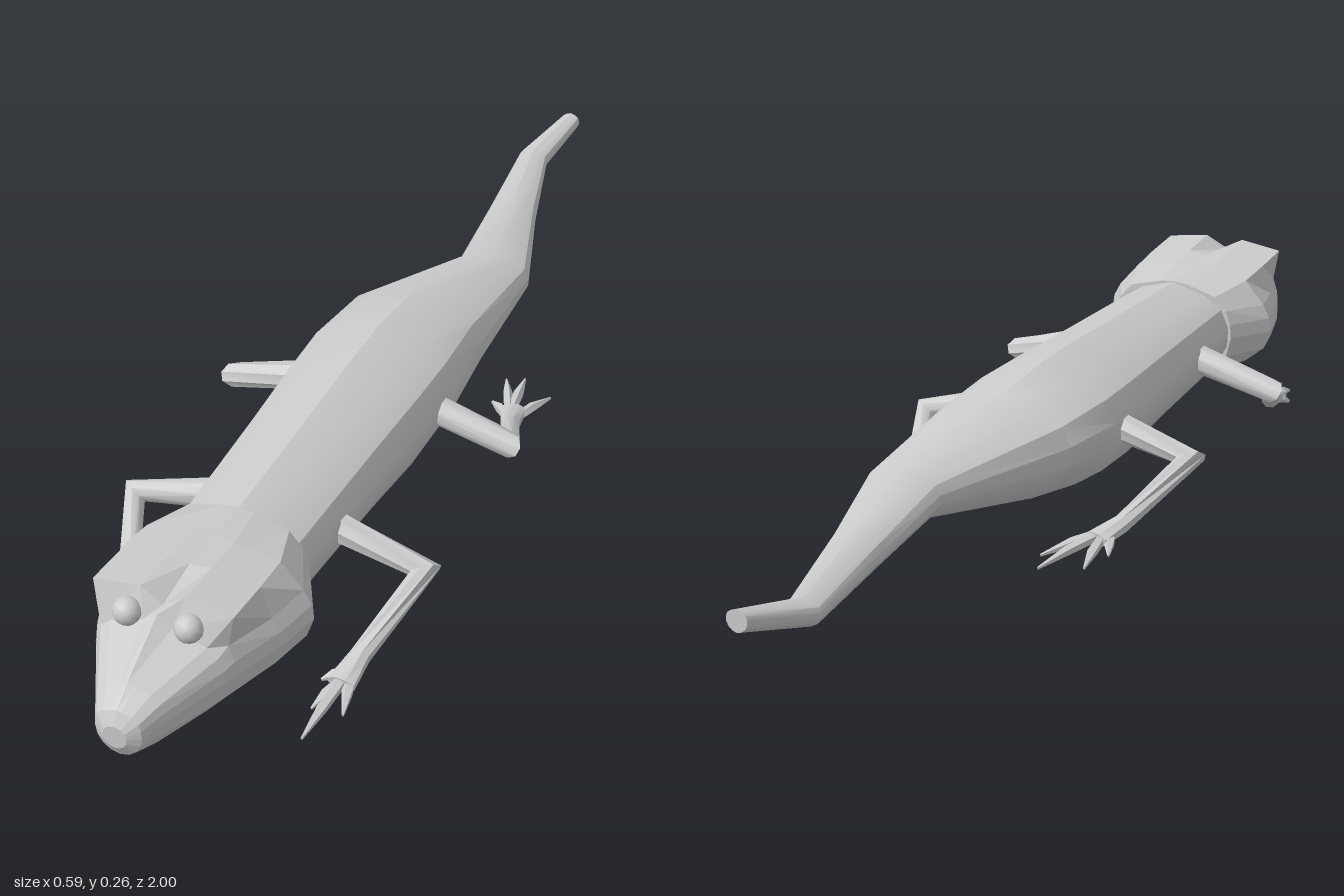
import * as THREE from 'three';
import { toCreasedNormals } from 'three/addons/utils/BufferGeometryUtils.js';

// Skin a list of equal-sized vertex rings and cap both ends
function loft(rings, crease) {
  const n = rings[0].length, verts = [], index = [];
  rings.forEach(r => r.forEach(p => verts.push(p.x, p.y, p.z)));
  for (let i = 0; i < rings.length - 1; i++) for (let j = 0; j < n; j++) {
    const a = i * n + j, b = i * n + (j + 1) % n;
    index.push(a, a + n, b, b, a + n, b + n);
  }
  [0, rings.length - 1].forEach((i, end) => {
    const c = new THREE.Vector3();
    rings[i].forEach(p => c.addScaledVector(p, 1 / n));
    const k = verts.length / 3;
    verts.push(c.x, c.y, c.z);
    for (let j = 0; j < n; j++) {
      const a = i * n + j, b = i * n + (j + 1) % n;
      if (end) index.push(k, b, a); else index.push(k, a, b);
    }
  });
  const g = new THREE.BufferGeometry();
  g.setAttribute('position', new THREE.Float32BufferAttribute(verts, 3));
  g.setIndex(index);
  return toCreasedNormals(g, crease);
}

// Full ring from a right-half profile running bottom centre to top centre
function mirrorRing(half, z, cx = 0) {
  const left = half.slice(1, -1).reverse().map(([x, y]) => [-x, y]);
  return [...half, ...left].map(([x, y]) => new THREE.Vector3(cx + x, y, z));
}

// Tube through [x, y, z, halfWidth, halfHeight] stations
function limb(stations, sides, crease) {
  const pts = stations.map(s => new THREE.Vector3(s[0], s[1], s[2]));
  const up = new THREE.Vector3(0, 1, 0);
  return loft(stations.map((s, i) => {
    const t = new THREE.Vector3();
    if (i > 0) t.add(pts[i].clone().sub(pts[i - 1]).normalize());
    if (i < pts.length - 1) t.add(pts[i + 1].clone().sub(pts[i]).normalize());
    t.normalize();
    const u = up.clone().cross(t).normalize(), v = u.clone().cross(t);
    return Array.from({ length: sides }, (_, j) => {
      const a = (j + 0.5) / sides * Math.PI * 2;
      return pts[i].clone().addScaledVector(u, Math.cos(a) * s[3]).addScaledVector(v, Math.sin(a) * s[4]);
    });
  }), crease);
}

// Half outline of the head: rounded jaw, cheek, temple, brow edge, centre line
function headHalf(w, low, mid, templeY, browX, browY, innerY, centreY) {
  const jaw = Array.from({ length: 5 }, (_, i) => {
    const a = i / 4 * Math.PI / 2;
    return [w * Math.sin(a), mid - (mid - low) * Math.cos(a)];
  });
  return [...jaw, [0.98 * w, (mid + templeY) / 2], [0.9 * w, templeY],
    [browX, browY], [0.32 * browX, innerY], [0, centreY]];
}

export function createModel() {
  const model = new THREE.Group();
  model.name = 'lizard';
  const mat = new THREE.MeshStandardMaterial({ color: 0xcccccc });
  const add = (parent, name, geo) => {
    const m = new THREE.Mesh(geo, mat);
    m.name = name;
    parent.add(m);
    return m;
  };

  // Body and curving tail: z, centre x, half width, bottom, top
  const unit = [[0, -1], [0.42, -0.88], [0.78, -0.58], [0.97, -0.15], [0.98, 0.22], [0.85, 0.57], [0.55, 0.81], [0, 1]];
  const body = [
    [0.62, 0, 0.12, 0.045, 0.243],
    [0.28, 0, 0.135, 0.027, 0.253],
    [0.12, 0, 0.144, 0.012, 0.26],
    [0, 0, 0.148, 0.018, 0.26],
    [-0.15, 0.005, 0.136, 0.048, 0.247],
    [-0.41, 0.058, 0.074, 0.098, 0.192],
    [-0.64, 0.01, 0.049, 0.108, 0.178],
    [-0.87, -0.034, 0.031, 0.117, 0.165],
    [-1, 0, 0.019, 0.155, 0.194]
  ];
  add(model, 'bodyAndTail', loft(body.map(([z, cx, w, lo, hi]) =>
    mirrorRing(unit.map(([x, y]) => [x * w, (lo + hi) / 2 + y * (hi - lo) / 2]), z, cx)), 0.5));

  // Head from snout to neck: z, then the outline measures
  const head = [
    [1, 0.02, 0.089, 0.11, 0.122, 0.011, 0.128, 0.13, 0.131],
    [0.988, 0.04, 0.067, 0.112, 0.138, 0.024, 0.147, 0.153, 0.155],
    [0.95, 0.06, 0.054, 0.12, 0.154, 0.038, 0.166, 0.176, 0.181],
    [0.85, 0.113, 0.045, 0.136, 0.182, 0.083, 0.197, 0.218, 0.236],
    [0.83, 0.122, 0.044, 0.138, 0.195, 0.121, 0.254, 0.266, 0.24],
    [0.74, 0.156, 0.043, 0.14, 0.192, 0.121, 0.246, 0.258, 0.255],
    [0.66, 0.174, 0.042, 0.14, 0.193, 0.118, 0.238, 0.251, 0.252],
    [0.57, 0.126, 0.042, 0.145, 0.2, 0.09, 0.226, 0.243, 0.246]
  ];
  add(model, 'head', loft(head.map(([z, ...m]) => mirrorRing(headHalf(...m), z)), 0.05));

  // Eyes tucked under the brow
  for (const s of [1, -1])
    add(model, s > 0 ? 'leftEye' : 'rightEye', new THREE.SphereGeometry(0.024, 12, 8)).position.set(s * 0.053, 0.225, 0.848);

  // One leg: side, hip z, ankle, palm and toe tips as [distance from centre, z]
  function addLeg(name, side, hipZ, ankle, palm, toes) {
    const leg = new THREE.Group();
    leg.name = name;
    model.add(leg);
    add(leg, 'limb', limb([
      [side * 0.1, 0.15, hipZ, 0.027, 0.028], [side * 0.27, 0.105, hipZ, 0.029, 0.023],
      [side * ankle[0], 0.026, ankle[1], 0.018, 0.017], [side * palm[0], 0.016, palm[1], 0.026, 0.013]
    ], 8, 0.6));
    toes.forEach(([x, z], i) => {
      // Outer toes branch from nearer the ankle
      const f = i % 3 === 0 ? 0.55 : 0.85;
      const bx = THREE.MathUtils.lerp(ankle[0], palm[0], f) + (x - palm[0]) * 0.15;
      const bz = THREE.MathUtils.lerp(ankle[1], palm[1], f);
      add(leg, 'toe', limb([
        [side * bx, 0.017, bz, 0.009, 0.01],
        [side * (bx + x) / 2, 0.014, (bz + z) / 2, 0.01, 0.009],
        [side * x, 0.004, z, 0.002, 0.003]
      ], 5, 0.3));
    });
  }
  addLeg('leftFrontLeg', 1, 0.435, [0.222, 0.59], [0.217, 0.655], [[0.178, 0.645], [0.192, 0.715], [0.208, 0.785], [0.245, 0.71]]);
  addLeg('rightFrontLeg', -1, 0.432, [0.208, 0.585], [0.192, 0.65], [[0.225, 0.645], [0.202, 0.705], [0.172, 0.735], [0.15, 0.66]]);
  addLeg('leftBackLeg', 1, 0.048, [0.21, -0.115], [0.193, -0.175], [[0.142, -0.2], [0.14, -0.28], [0.172, -0.295], [0.238, -0.255]]);
  addLeg('rightBackLeg', -1, 0.043, [0.208, -0.11], [0.187, -0.17], [[0.225, -0.2], [0.21, -0.265], [0.14, -0.3], [0.12, -0.25]]);
  return model;
}
